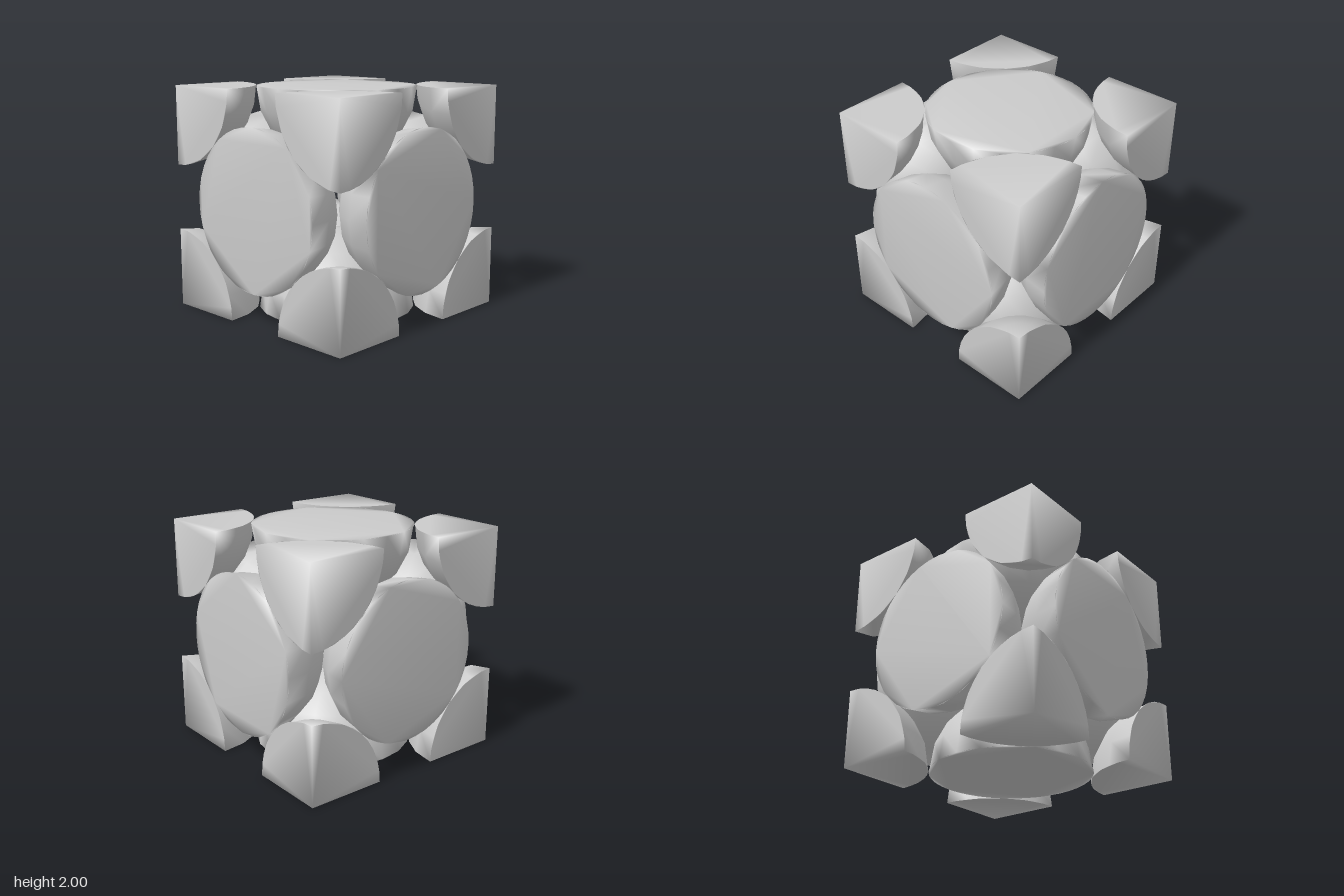
import * as THREE from 'three';
import { mergeGeometries, mergeVertices } from 'three/addons/utils/BufferGeometryUtils.js';

const R = Math.SQRT1_2; // balls touch along the face diagonals of a cube of side 2
const QUARTER = Math.PI / 2;
const STEPS = 5; // segments per quarter circle

// Weld the pieces of one closed solid and give it soft normals
function weld(parts) {
  const bare = parts.map((g) => {
    g.deleteAttribute('normal');
    g.deleteAttribute('uv');
    return g;
  });
  const solid = mergeVertices(mergeGeometries(bare), 1e-4);
  solid.computeVertexNormals();
  return solid;
}

// Half ball: dome towards +y, flat cut on y = 0
function halfBall() {
  const dome = new THREE.SphereGeometry(R, STEPS * 4, STEPS, 0, Math.PI * 2, 0, QUARTER);
  const disc = new THREE.Shape().absarc(0, 0, R, 0, Math.PI * 2);
  return weld([dome, new THREE.ShapeGeometry(disc, STEPS * 4).rotateX(QUARTER)]);
}

// Eighth of a ball in the +x +y +z octant, closed by three quarter discs
function eighthBall() {
  const parts = [new THREE.SphereGeometry(R, STEPS, STEPS, QUARTER, QUARTER, 0, QUARTER)];
  const sector = new THREE.Shape().moveTo(0, 0).lineTo(R, 0).absarc(0, 0, R, 0, QUARTER);
  const diagonal = new THREE.Vector3(1, 1, 1).normalize();
  for (let i = 0; i < 3; i++) {
    const turn = new THREE.Matrix4().makeRotationAxis(diagonal, (i * Math.PI * 2) / 3);
    parts.push(new THREE.ShapeGeometry(sector, STEPS).rotateX(QUARTER).applyMatrix4(turn));
  }
  return weld(parts);
}

export function createModel() {
  const model = new THREE.Group();
  model.name = 'cubicSpherePacking';
  const material = new THREE.MeshStandardMaterial({ color: 0xcccccc });
  const up = new THREE.Vector3(0, 1, 0);

  // Half balls in the middle of the six cube faces, domes pointing inwards
  const half = halfBall();
  const faces = {
    front: [0, 0, 1], back: [0, 0, -1], left: [1, 0, 0],
    right: [-1, 0, 0], top: [0, 1, 0], bottom: [0, -1, 0],
  };
  for (const [name, dir] of Object.entries(faces)) {
    const outward = new THREE.Vector3(...dir);
    const mesh = new THREE.Mesh(half, material);
    mesh.name = `${name}HalfBall`;
    mesh.quaternion.setFromUnitVectors(up, outward.clone().negate());
    mesh.position.copy(outward).add(up);
    model.add(mesh);
  }

  // Eighth balls in the eight cube corners, round side pointing inwards
  const eighth = eighthBall();
  for (const tilt of [0, QUARTER]) {
    for (let i = 0; i < 4; i++) {
      const mesh = new THREE.Mesh(eighth, material);
      mesh.rotation.set(tilt, i * QUARTER, 0, 'YXZ');
      const corner = new THREE.Vector3(-1, -1, -1).applyEuler(mesh.rotation).round();
      mesh.name = (corner.y > 0 ? 'top' : 'bottom') + (corner.z > 0 ? 'Front' : 'Back')
        + (corner.x > 0 ? 'Left' : 'Right') + 'CornerBall';
      mesh.position.copy(corner).add(up);
      model.add(mesh);
    }
  }
  return model;
}
